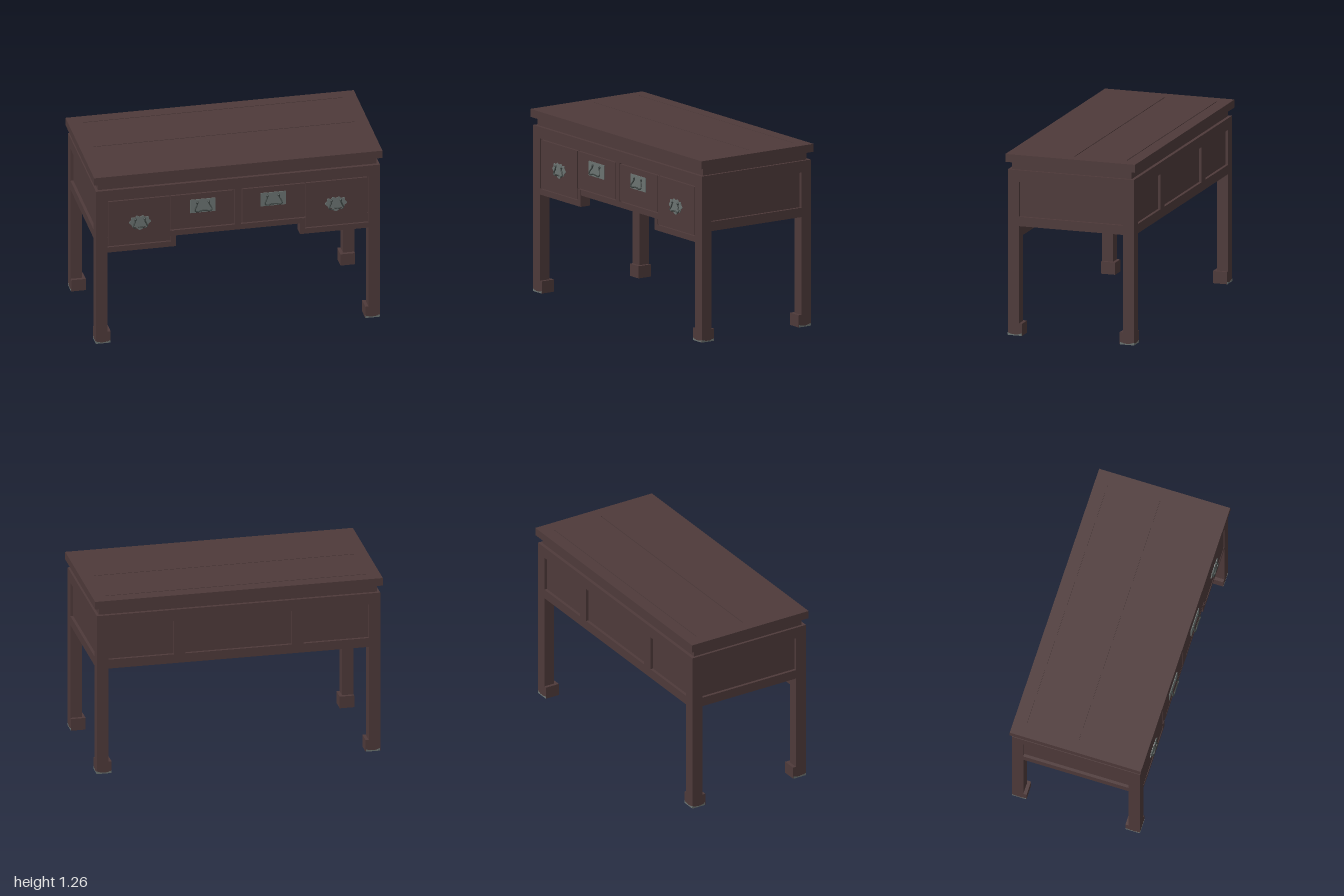
import * as THREE from 'three';

const wood = new THREE.MeshStandardMaterial({ name: 'dark wood', color: 0x4e3a3a });
const metal = new THREE.MeshStandardMaterial({ name: 'grey metal', color: 0x6a7270 });
const darkMetal = new THREE.MeshStandardMaterial({ name: 'dark metal', color: 0x3c4442 });

export function createModel() {
  const model = new THREE.Group();
  model.name = 'desk';
  const desk = new THREE.Group();
  desk.name = 'deskBody';
  desk.position.z = -0.006;
  model.add(desk);

  const add = (name, geometry, material = wood, parent = desk) => {
    const mesh = new THREE.Mesh(geometry, material);
    mesh.name = name;
    parent.add(mesh);
    return mesh;
  };
  // Box given by its limits on each axis
  const box = (name, x0, x1, y0, y1, z0, z1, material = wood) => {
    const g = new THREE.BoxGeometry(Math.abs(x1 - x0), y1 - y0, Math.abs(z1 - z0));
    g.translate((x0 + x1) / 2, (y0 + y1) / 2, (z0 + z1) / 2);
    return add(name, g, material);
  };
  const plate = (shape, depth) =>
    new THREE.ExtrudeGeometry(shape, { depth, bevelEnabled: false, curveSegments: 8 });
  const rectangle = (Type, x0, x1, y0, y1) => new Type([
    [x0, y0], [x1, y0], [x1, y1], [x0, y1],
  ].map(([x, y]) => new THREE.Vector2(x, y)));

  // Table top with two narrow board seams
  box('tableTop', -1, 1, 1.21, 1.257, -0.467, 0.467);
  const boards = rectangle(THREE.Shape, -1, 1, -0.467, 0.467);
  for (const y of [0, 0.373]) boards.holes.push(rectangle(THREE.Path, -0.905, 0.905, y - 0.003, y + 0.003));
  add('topBoards', plate(boards, 0.008).rotateX(-Math.PI / 2).translate(0, 1.257, 0));
  box('neck', -0.967, 0.967, 1.155, 1.21, -0.432, 0.432);
  box('carcass', -0.965, 0.965, 0.78, 1.154, -0.435, 0.435);

  // Back rails and stiles around the recessed panels
  box('backTopRail', -0.905, 0.905, 1.075, 1.155, -0.455, -0.43);
  box('backBottomRail', -0.905, 0.905, 0.765, 0.83, -0.455, -0.43);
  // Front rails
  box('frontTopRail', -0.905, 0.905, 1.075, 1.155, 0.43, 0.455);
  box('frontCentreStile', -0.022, 0.022, 0.805, 1.075, 0.43, 0.455);
  box('kneeRail', -0.47, 0.47, 0.765, 0.805, 0.375, 0.453);

  // Shaped metal trim at the base of a foot
  const trim = new THREE.Shape();
  trim.moveTo(-0.05, 0);
  trim.lineTo(0.05, 0);
  trim.lineTo(0.05, 0.018);
  trim.quadraticCurveTo(0, -0.004, -0.05, 0.018);

  // Scalloped back plate for the outer handles
  const half = [[0.022, 0.053], [0.036, 0.04], [0.058, 0.043], [0.064, 0.022], [0.077, 0.004],
    [0.06, -0.012], [0.052, -0.03], [0.03, -0.028], [0.018, -0.046]];
  const outline = [[0, 0.043], ...half, [0, -0.054], ...half.slice().reverse().map(([x, y]) => [-x, y])];
  const scallop = new THREE.Shape();
  scallop.moveTo(...outline[0]);
  scallop.splineThru([...outline.slice(1), outline[0]].map(([x, y]) => new THREE.Vector2(x, y)));

  // Swing handle with posts, leaning outward at the bottom
  const handle = (name, x, y, shape, scale, lean) => {
    const group = new THREE.Group();
    group.name = name;
    group.position.set(x, y, 0.452);
    desk.add(group);
    add('handlePlate', plate(shape, 0.006), metal, group);
    const side = [[0.038, 0.03, 0.008], [0.04, 0.012, 0.01], [0.05, -0.006, 0.008 + lean * 0.5],
      [0.056, -0.026, 0.008 + lean], [0.038, -0.035, 0.008 + lean], [0.018, -0.029, 0.008 + lean]];
    const path = [...side, ...side.slice().reverse().map(([a, b, c]) => [-a, b, c])];
    const curve = new THREE.CatmullRomCurve3(path.map(([a, b, c]) => new THREE.Vector3(a * scale, b, c)));
    add('handleBail', new THREE.TubeGeometry(curve, 40, 0.005, 6), darkMetal, group);
    for (const s of [-1, 1]) {
      add('handlePost', new THREE.SphereGeometry(0.009, 10, 8), darkMetal, group)
        .position.set(s * 0.038 * scale, 0.027, 0.008);
    }
  };

  for (const s of [-1, 1]) {
    // Side rails
    box('sideTopRail', s * 0.96, s * 0.985, 1.075, 1.155, -0.375, 0.375);
    box('sideBottomRail', s * 0.905, s * 0.985, 0.765, 0.83, -0.375, 0.375);
    box('backStile', s * 0.37, s * 0.45, 0.83, 1.075, -0.455, -0.43);

    // Deeper front section beneath the outer drawers
    box('apron', s * 0.43, s * 0.905, 0.685, 0.79, 0.375, 0.44);
    box('apronRail', s * 0.43, s * 0.905, 0.685, 0.725, 0.43, 0.455);
    box('apronEnd', s * 0.43, s * 0.466, 0.725, 0.803, 0.43, 0.455);

    // Drawer fronts set in with narrow gaps
    box('innerDrawer', s * 0.03, s * 0.464, 0.813, 1.067, 0.43, 0.453);
    box('outerDrawer', s * 0.472, s * 0.897, 0.733, 1.067, 0.43, 0.453);

    handle('innerHandle', s * 0.243, 0.975, rectangle(THREE.Shape, -0.088, 0.088, -0.05, 0.05), 1.05, 0.016);
    handle('outerHandle', s * 0.68, 0.89, scallop, 0.85, 0.006);

    // Legs with inward-stepping block feet
    for (const f of [-1, 1]) {
      box('leg', s * 0.905, s * 0.985, 0, 1.155, f * 0.375, f * 0.455);
      box('foot', s * 0.883, s * 0.9845, 0, 0.085, f * 0.352, f * 0.4545);
      const endTrim = add('footTrim', plate(trim, 0.001), metal);
      endTrim.position.set(s * 0.934, 0, f * 0.455);
      endTrim.rotation.y = f > 0 ? 0 : Math.PI;
      const sideTrim = add('footTrim', plate(trim, 0.001), metal);
      sideTrim.position.set(s * 0.985, 0, f * 0.404);
      sideTrim.rotation.y = s * Math.PI / 2;
    }
  }
  return model;
}
